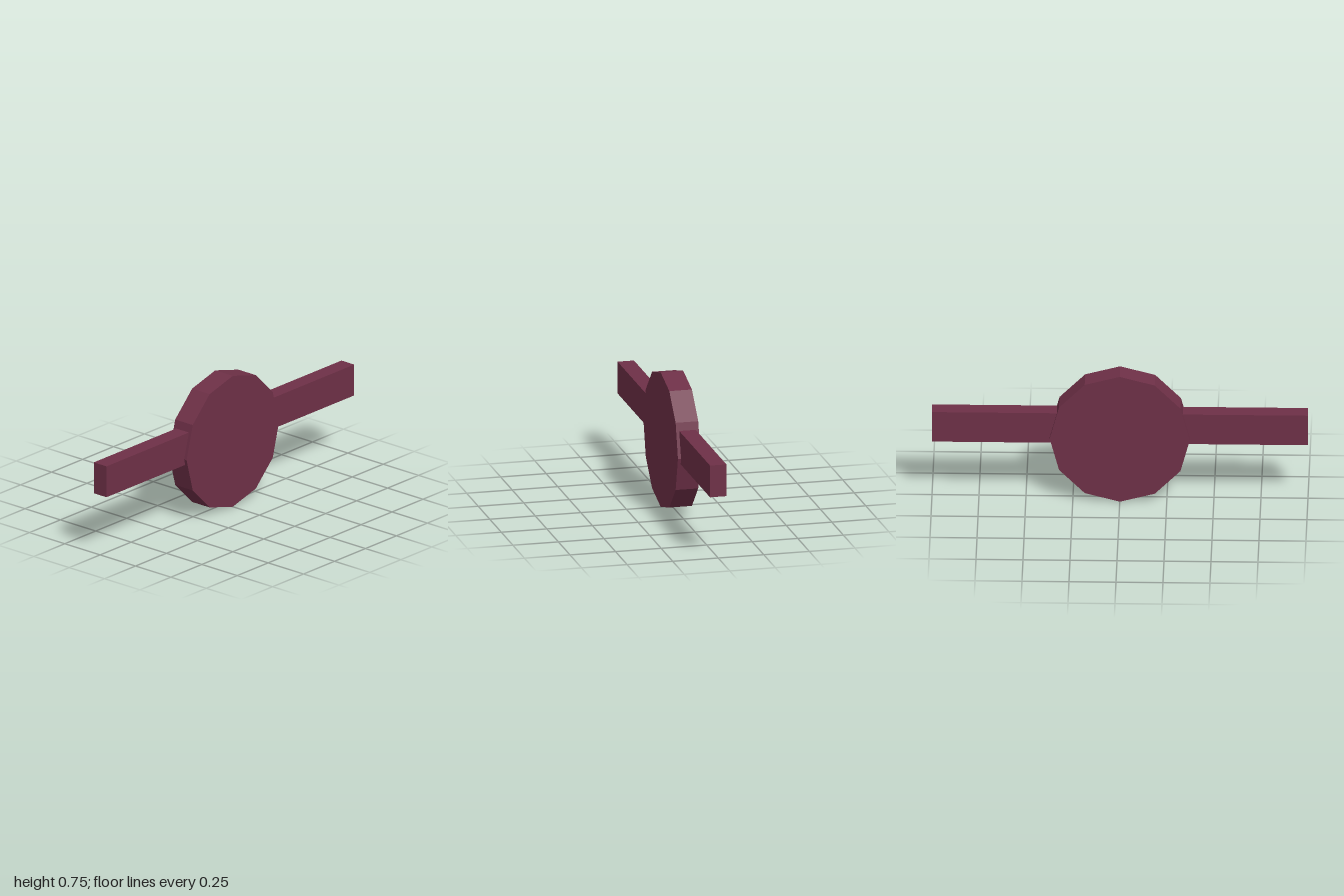
import * as THREE from 'three';

export function createModel() {
  const group = new THREE.Group();
  const maroon = new THREE.MeshStandardMaterial({ color: 0x6e3047, flatShading: true });
  maroon.name = 'maroon';

  const radius = 0.373;

  // Twelve-sided disc facing front, standing on a corner
  const disc = new THREE.Mesh(
    new THREE.CylinderGeometry(radius, radius, 0.124, 12).rotateX(Math.PI / 2),
    maroon
  );
  disc.name = 'disc';
  disc.position.y = radius;
  group.add(disc);

  // Flat bars running outward from inside the disc
  const inner = 0.3, outer = 1;
  for (const side of [1, -1]) {
    const bar = new THREE.Mesh(new THREE.BoxGeometry(outer - inner, 0.176, 0.09), maroon);
    bar.name = side > 0 ? 'leftBar' : 'rightBar';
    bar.position.set(side * (inner + outer) / 2, 0.428, 0);
    group.add(bar);
  }

  return group;
}
